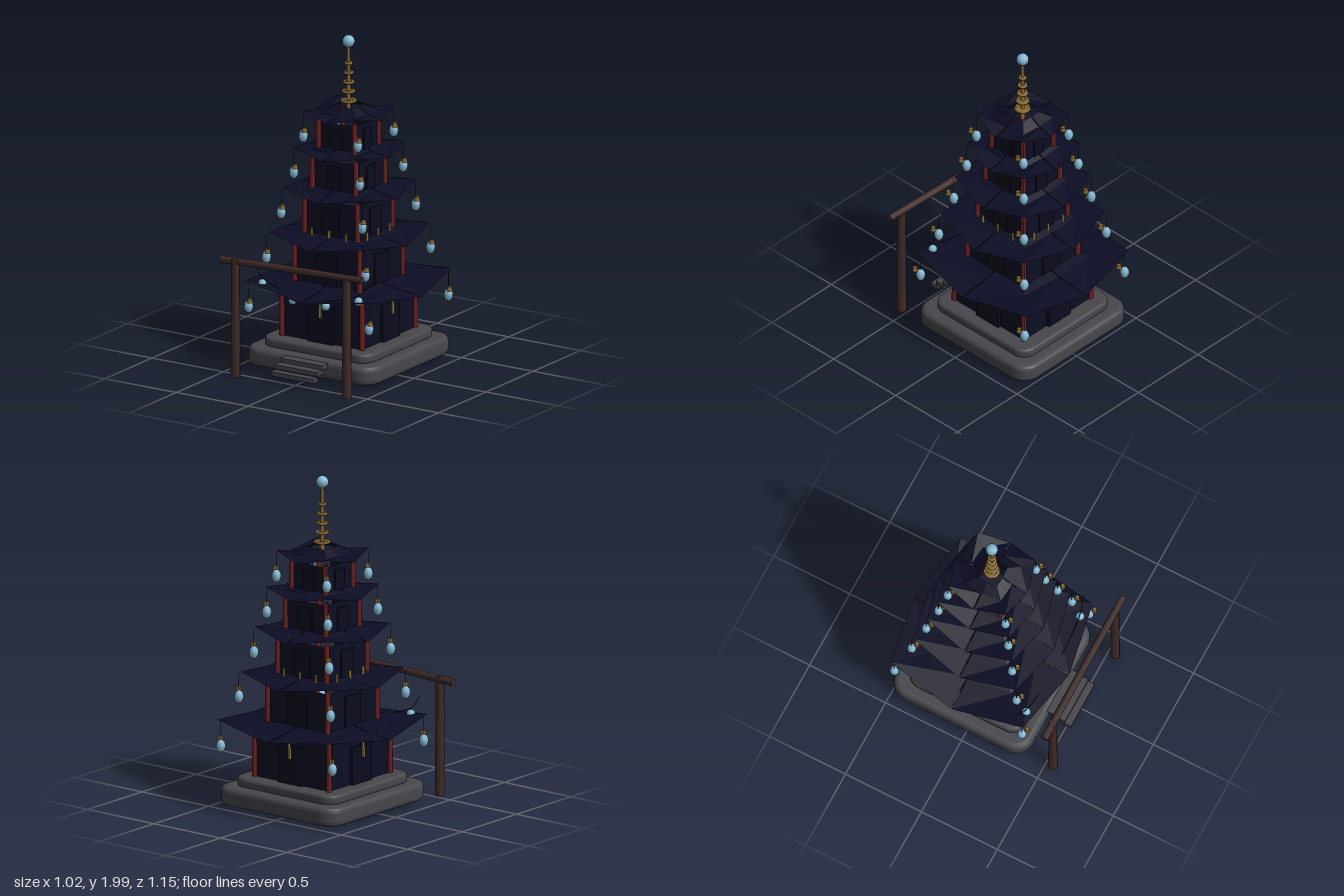
import * as THREE from 'three';

const flat = (name, color, side = THREE.FrontSide) => {
  const m = new THREE.MeshStandardMaterial({ color, side });
  m.name = name;
  return m;
};

export function createModel() {
  const model = new THREE.Group();
  model.name = 'pagoda';
  const stone = flat('stone', 0x46464c);
  const wall = flat('wall navy', 0x0d0d24);
  const door = flat('door navy', 0x0a0a1e);
  const roofMat = flat('roof navy', 0x0c0c24, THREE.DoubleSide);
  const red = flat('pillar red', 0x6a2020);
  const wood = flat('gate wood', 0x3e2a28);
  const gold = flat('dull gold', 0x8b6c30);
  const yellow = flat('tassel yellow', 0xa39540);
  const blue = flat('lantern blue', 0x84b8d2);
  const cord = flat('cord', 0x1c1a22);

  const add = (parent, name, geo, mat, x = 0, y = 0, z = 0) => {
    const mesh = new THREE.Mesh(geo, mat);
    mesh.name = name;
    mesh.position.set(x, y, z);
    parent.add(mesh);
    return mesh;
  };
  // Everything on the tower shares one offset centre
  const tower = new THREE.Group();
  tower.name = 'tower';
  tower.position.z = -0.064;
  model.add(tower);

  // Rounded stone slab
  const slab = (name, half, y0, y1, corner, bevel) => {
    const s = half - bevel, r = corner, shape = new THREE.Shape();
    shape.moveTo(-s + r, -s);
    shape.lineTo(s - r, -s);
    shape.absarc(s - r, -s + r, r, -Math.PI / 2, 0);
    shape.absarc(s - r, s - r, r, 0, Math.PI / 2);
    shape.absarc(-s + r, s - r, r, Math.PI / 2, Math.PI);
    shape.absarc(-s + r, -s + r, r, Math.PI, Math.PI * 1.5);
    const geo = new THREE.ExtrudeGeometry(shape, {
      depth: y1 - y0 - 2 * bevel, bevelEnabled: true, bevelSize: bevel,
      bevelThickness: bevel, bevelSegments: 3, curveSegments: 6,
    });
    geo.rotateX(-Math.PI / 2);
    add(tower, name, geo, stone, 0, y0 + bevel, 0);
  };
  slab('lowerBase', 0.45, 0.035, 0.147, 0.08, 0.03);
  slab('upperBase', 0.376, 0.14, 0.2, 0.07, 0.018);

  // Entrance steps
  [[0.405, 0.125, 0.07], [0.462, 0.098, 0.065], [0.51, 0.066, 0.05]].forEach(([z, y, d]) =>
    add(model, 'step', new THREE.BoxGeometry(0.295, 0.026, d), stone, 0, y, z));

  // Lantern with a cap set slightly to one side
  const lanternGeo = new THREE.SphereGeometry(0.028, 8, 6);
  const capGeo = new THREE.CylinderGeometry(0.013, 0.017, 0.026, 6);
  const lantern = (parent, x, y, z, top) => {
    const g = new THREE.Group();
    g.name = 'lantern';
    g.position.set(x, y, z);
    parent.add(g);
    add(g, 'lanternBody', lanternGeo, blue).scale.y = 1.4;
    add(g, 'lanternCap', capGeo, gold, 0.023, 0.043, 0.023);
    add(g, 'lanternCord', new THREE.CylinderGeometry(0.002, 0.002, top - y, 4), cord, 0, (top - y) / 2, 0);
  };

  // One quarter of an upswept roof: inner, sagging middle and outer rows
  const roofQuarter = (R, yLow, corner, yHigh) => {
    const e = 0.003;
    const row = (r, c, yMid, yCorner) => [[r, yMid, e], [c, yCorner, c], [e, yMid, r]];
    const rows = [
      row(R * 0.3, R * 0.28, yLow + 0.066, yLow + 0.064),
      row(R * 0.58, R * 0.53, yLow + 0.026, yLow + 0.024),
      row(R, corner, yLow, yHigh),
    ];
    const pos = [];
    for (let i = 0; i < 2; i++) for (let j = 0; j < 2; j++) {
      const a = rows[i][j], b = rows[i + 1][j], c = rows[i + 1][j + 1], d = rows[i][j + 1];
      pos.push(...a, ...c, ...b, ...a, ...d, ...c);
    }
    const geo = new THREE.BufferGeometry();
    geo.setAttribute('position', new THREE.Float32BufferAttribute(pos, 3));
    geo.computeVertexNormals();
    return geo;
  };

  // Storeys: wall half width, wall bottom and top, then roof and lantern sizes
  const tiers = [
    { w: 0.28, y0: 0.2, y1: 0.476, R: 0.51, low: 0.492, c: 0.435, high: 0.545, lx: 0.42, ly: 0.385 },
    { w: 0.226, y0: 0.51, y1: 0.765, R: 0.41, low: 0.783, c: 0.338, high: 0.83, lx: 0.345, ly: 0.68 },
    { w: 0.184, y0: 0.8, y1: 1.03, R: 0.342, low: 1.055, c: 0.28, high: 1.1, lx: 0.283, ly: 0.945 },
    { w: 0.152, y0: 1.075, y1: 1.272, R: 0.282, low: 1.296, c: 0.236, high: 1.34, lx: 0.23, ly: 1.186 },
    { w: 0.126, y0: 1.315, y1: 1.49, R: 0.233, low: 1.513, c: 0.19, high: 1.558, lx: 0.19, ly: 1.403 },
  ];
  tiers.forEach((t, n) => {
    const g = new THREE.Group();
    g.name = 'storey' + (n + 1);
    tower.add(g);
    const h = t.y1 - t.y0;
    const wallGeo = new THREE.CylinderGeometry(t.w * Math.SQRT2, t.w * Math.SQRT2, h, 4, 1, true).toNonIndexed();
    wallGeo.rotateY(Math.PI / 4);
    wallGeo.computeVertexNormals();
    add(g, 'walls', wallGeo, wall, 0, t.y0 + h / 2, 0);
    add(g, 'floor', new THREE.PlaneGeometry(t.w * 2, t.w * 2).rotateX(-Math.PI / 2), wall, 0, t.y0 + 0.003, 0);
    const quarter = roofQuarter(t.R, t.low, t.c, t.high);
    for (let k = 0; k < 4; k++) {
      const side = new THREE.Group();
      side.name = 'side';
      side.rotation.y = k * Math.PI / 2;
      g.add(side);
      add(side, 'roofPanel', quarter, roofMat);
      add(side, 'door', new THREE.BoxGeometry(t.w * 0.64, h * 0.82, n ? 0.009 : 0.04), door,
        0, t.y0 + h * 0.41, t.w + (n ? 0.003 : 0));
      add(side, 'pillar', new THREE.CylinderGeometry(0.015, 0.017, h + 0.018, 8), red,
        t.w, t.y0 + h / 2 + 0.008, t.w);
      const sx = k % 2 ? 1 : -1, sz = k < 2 ? 1 : -1;
      lantern(g, sx * t.lx, t.ly, sz * t.lx, t.high - 0.01);
    }
  });

  // Hanging tassels on the four sides of the lower storeys
  const tassel = (parent, x, y0, y1, z) => {
    const h = (y1 - y0) / 2;
    add(parent, 'tasselTop', new THREE.BoxGeometry(0.012, h, 0.01), yellow, x, y1 - h / 2, z);
    add(parent, 'tasselEnd', new THREE.BoxGeometry(0.014, h, 0.012), yellow, x + 0.004, y0 + h / 2, z);
  };
  for (let k = 0; k < 4; k++) {
    const side = new THREE.Group();
    side.name = 'tassels';
    side.rotation.y = k * Math.PI / 2;
    tower.add(side);
    tassel(side, 0, 0.355, 0.48, 0.307);
    [-0.12, 0.12].forEach((x) => tassel(side, x, 0.462, 0.48, 0.29));
    [-0.12, 0, 0.12].forEach((x) => tassel(side, x, 0.765, 0.86, 0.208));
  }

  // Spire with shrinking rings and a globe
  add(tower, 'spirePole', new THREE.CylinderGeometry(0.009, 0.013, 0.42, 8), gold, 0, 1.74, 0);
  [[1.603, 0.05], [1.66, 0.042], [1.716, 0.036], [1.773, 0.031], [1.83, 0.026]].forEach(([y, r]) => {
    const ring = add(tower, 'spireRing', new THREE.TorusGeometry(r - 0.009, 0.009, 6, 9), gold, 0, y, 0);
    ring.rotation.x = Math.PI / 2;
    add(tower, 'ringHub', new THREE.CylinderGeometry(r - 0.008, r - 0.008, 0.008, 9), gold, 0, y, 0);
  });
  add(tower, 'spireGlobe', new THREE.SphereGeometry(0.037, 10, 8), blue, 0, 1.963, 0);

  // Gate with a slightly tilted beam
  [-1, 1].forEach((s) =>
    add(model, 'gatePost', new THREE.CylinderGeometry(0.025, 0.03, 0.72, 8), wood, s * 0.388, 0.37, 0.543));
  const beam = add(model, 'gateBeam', new THREE.CylinderGeometry(0.021, 0.023, 0.985, 8), wood, 0, 0.724, 0.54);
  beam.rotation.z = -Math.PI / 2 + 0.033;

  // Sagging cord with small lanterns
  const half = [[0.42, 0.66, 0.315], [0.335, 0.57, 0.34], [0.115, 0.505, 0.352]];
  const path = [
    ...half.map(([x, y, z]) => new THREE.Vector3(-x, y, z)),
    new THREE.Vector3(0, 0.497, 0.354),
    ...half.slice().reverse().map(([x, y, z]) => new THREE.Vector3(x, y, z)),
  ];
  add(model, 'lanternRope', new THREE.TubeGeometry(new THREE.CatmullRomCurve3(path), 32, 0.0025, 4), cord);
  [[0.335, 0.535, 0.34], [0.115, 0.473, 0.352]].forEach(([x, y, z]) => [-1, 1].forEach((s) =>
    add(model, 'ropeLantern', new THREE.SphereGeometry(0.027, 8, 6), blue, s * x, y, z)));

  return model;
}
